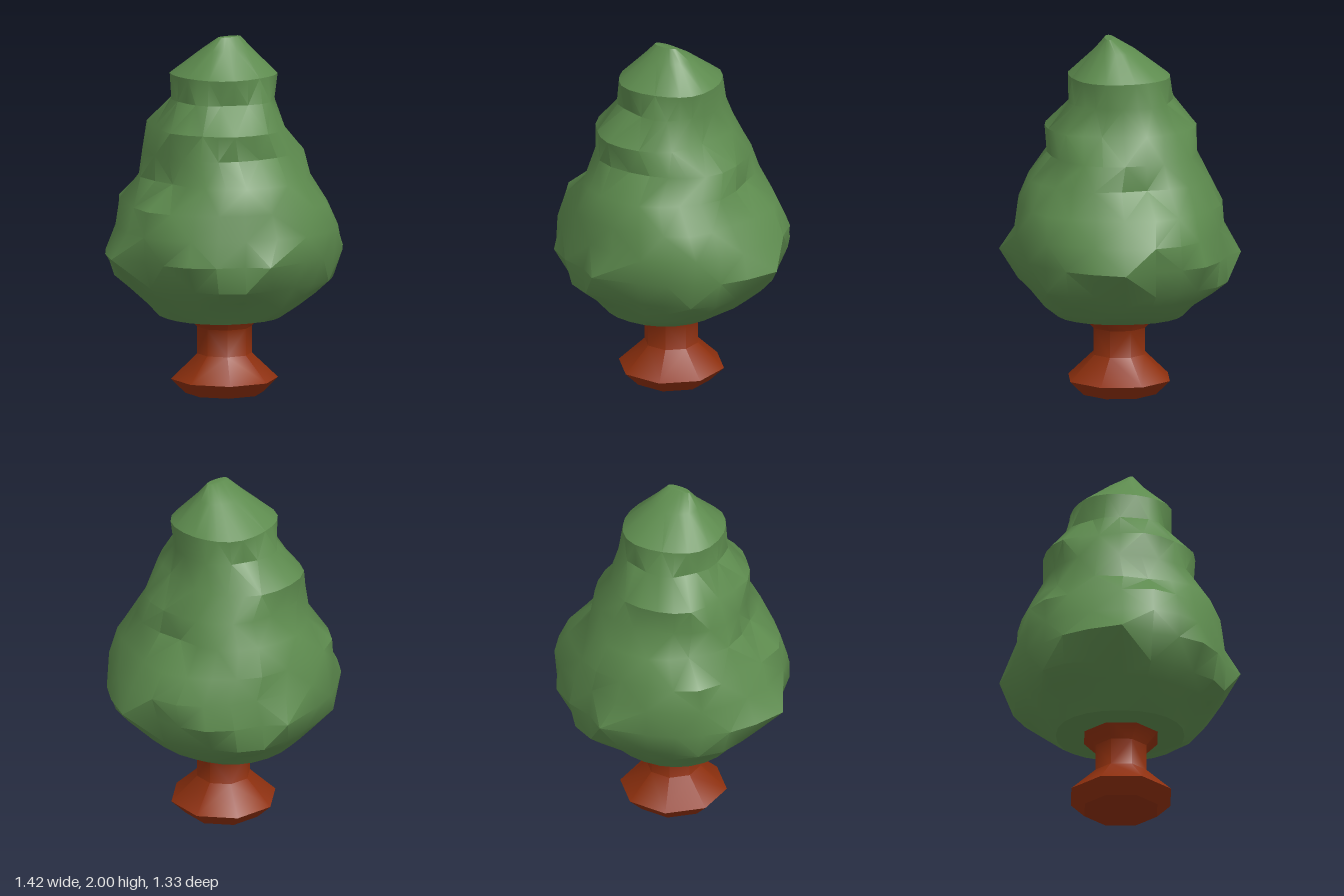
import * as THREE from 'three';
import { toCreasedNormals } from 'three/addons/utils/BufferGeometryUtils.js';

const leafGreen = new THREE.MeshStandardMaterial({ color: 0x5d8b4e });
leafGreen.name = 'leafGreen';
const barkBrown = new THREE.MeshStandardMaterial({ color: 0x8f300e });
barkBrown.name = 'barkBrown';

// Skins a stack of rings; each ring is [y, +x, -x, +z, -z] extents. Closed at both ends.
function loft(rings, sides, { power = 2, turn = 0, crease = 0.6, adjust } = {}) {
  const pos = [];
  const index = [];
  const bend = (v) => Math.sign(v) * Math.pow(Math.abs(v), 2 / power);
  rings.forEach(([y, xp, xn, zp, zn], i) => {
    for (let j = 0; j < sides; j++) {
      const a = ((j + turn) / sides) * Math.PI * 2;
      const c = bend(Math.cos(a));
      const s = bend(Math.sin(a));
      const p = new THREE.Vector3((xp - xn) / 2 + (c * (xp + xn)) / 2, y, (zp - zn) / 2 + (s * (zp + zn)) / 2);
      if (adjust) adjust(p, i, j, a);
      pos.push(p.x, p.y, p.z);
    }
  });
  const at = (i, j) => i * sides + (j % sides);
  for (let i = 0; i < rings.length - 1; i++) {
    for (let j = 0; j < sides; j++) {
      const a = at(i, j), b = at(i, j + 1), c = at(i + 1, j), d = at(i + 1, j + 1);
      if ((i + j) % 2) index.push(a, c, b, b, c, d);
      else index.push(a, c, d, a, d, b);
    }
  }
  const last = rings.length - 1;
  for (let j = 1; j < sides - 1; j++) {
    index.push(at(0, 0), at(0, j), at(0, j + 1));
    index.push(at(last, 0), at(last, j + 1), at(last, j));
  }
  const geo = new THREE.BufferGeometry();
  geo.setAttribute('position', new THREE.Float32BufferAttribute(pos, 3));
  geo.setIndex(index);
  return toCreasedNormals(geo, crease);
}

export function createModel() {
  const tree = new THREE.Group();
  tree.name = 'tree';

  // Trunk: octagonal, flared at the foot and under the leaves
  const k = 1 / Math.cos(Math.PI / 8);
  const trunkRings = [[0.005, 0.2], [0.08, 0.275], [0.22, 0.14], [0.37, 0.14], [0.46, 0.22]]
    .map(([y, r]) => [y, r * k, r * k, r * k, r * k]);
  trunkRings[0][0] = 0;
  const trunk = new THREE.Mesh(loft(trunkRings, 8, { turn: 0.5, crease: 0.8 }), barkBrown);
  trunk.name = 'trunk';
  tree.add(trunk);

  // Foliage: lumpy cone widest near the bottom
  const leafRings = [
    [0.44, 0.3, 0.36, 0.35, 0.36],
    [0.51, 0.42, 0.43, 0.42, 0.43],
    [0.58, 0.5, 0.5, 0.49, 0.51],
    [0.65, 0.57, 0.57, 0.56, 0.58],
    [0.8, 0.64, 0.64, 0.6, 0.61],
    [0.94, 0.64, 0.61, 0.58, 0.58],
    [1.08, 0.56, 0.57, 0.56, 0.57],
    [1.22, 0.44, 0.44, 0.51, 0.5],
    [1.36, 0.43, 0.43, 0.4, 0.43],
    [1.5, 0.31, 0.4, 0.41, 0.43],
    [1.65, 0.28, 0.29, 0.28, 0.3],
    [1.79, 0.28, 0.29, 0.28, 0.28],
    [1.93, 0.14, 0.14, 0.14, 0.09],
    [2.0, 0.07, 0.07, 0.08, -0.03],
  ];
  const sides = 24;
  const tipRing = 4;
  const adjust = (p, i, j, a) => {
    // Lumps fade out at the four axes, the base and the peak
    if (i > 0 && i < 12) {
      const lump = 0.035 * Math.sin(4 * a) * Math.sin(p.y * 11) + 0.03 * Math.sin(6 * a + 0.4 * Math.sin(2 * a)) * Math.cos(p.y * 15);
      p.x *= 1 + lump;
      p.z *= 1 + lump;
    }
    // Four pointed tufts around the widest ring
    if (i === tipRing && j % (sides / 4) === 0) {
      p.x += Math.cos(a) * 0.07 - Math.sin(a) * 0.07;
      p.z += Math.sin(a) * 0.06;
    }
  };
  const foliage = new THREE.Mesh(loft(leafRings, sides, { power: 2.2, crease: 0.65, adjust }), leafGreen);
  foliage.name = 'foliage';
  tree.add(foliage);

  return tree;
}
